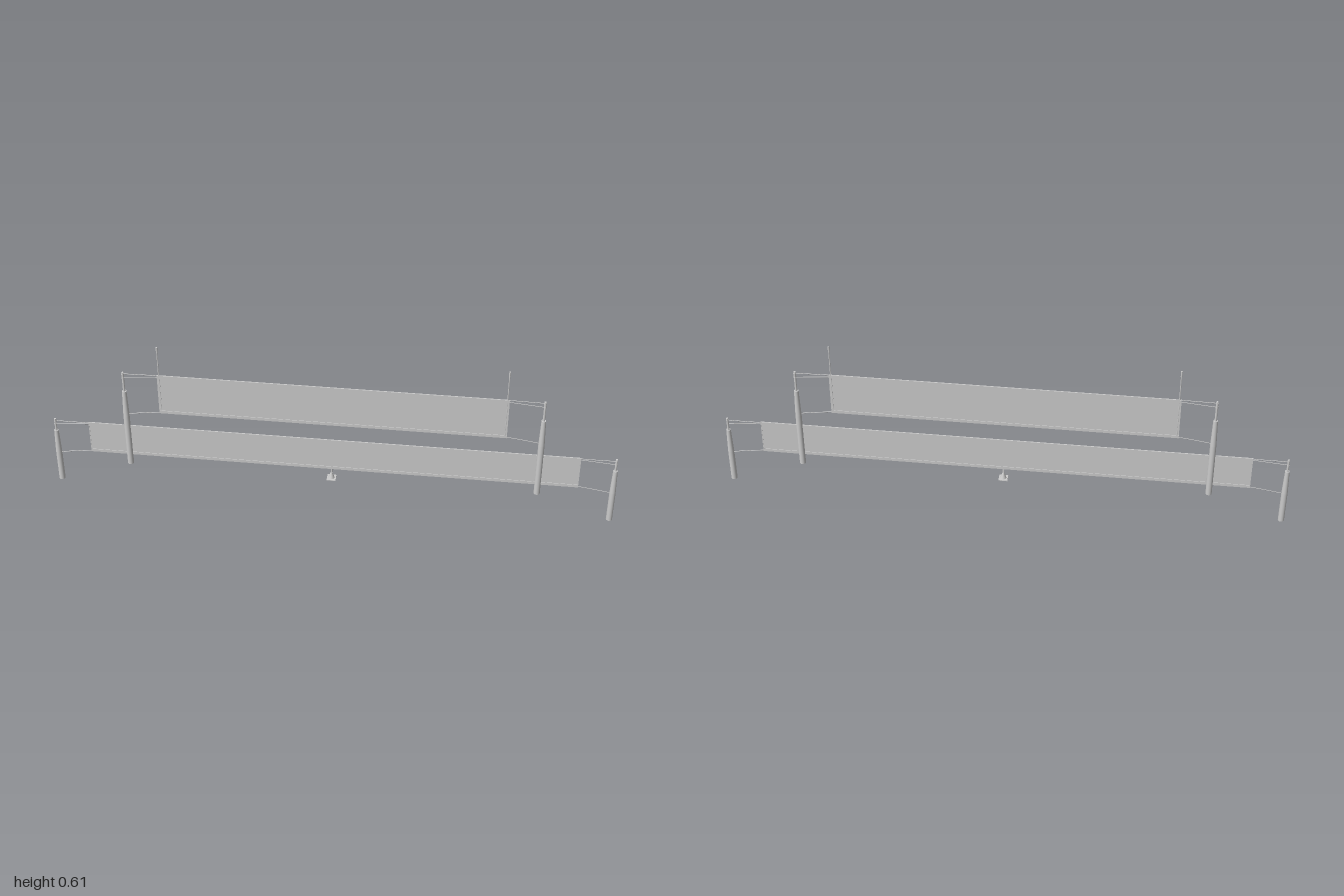
import * as THREE from 'three';

const grey = new THREE.MeshStandardMaterial({ color: 0xcccccc });
const greyDouble = new THREE.MeshStandardMaterial({ color: 0xcccccc, side: THREE.DoubleSide });

function add(parent, name, geometry, x = 0, y = 0, z = 0, material = grey) {
  const mesh = new THREE.Mesh(geometry, material);
  mesh.name = name;
  mesh.position.set(x, y, z);
  parent.add(mesh);
  return mesh;
}

// Thin cord between two points, sagging slightly in the middle
function rope(parent, name, x1, y1, x2, y2, sag = 0) {
  const curve = new THREE.QuadraticBezierCurve3(
    new THREE.Vector3(x1, y1, 0),
    new THREE.Vector3((x1 + x2) / 2, (y1 + y2) / 2 - sag, 0),
    new THREE.Vector3(x2, y2, 0));
  add(parent, name, new THREE.TubeGeometry(curve, 8, 0.0012, 6));
}

// Padded post: straight sleeve, tapered shoulder, slim pole with two collars and a cap
function post(name, x, base, shoulder, padTop, top) {
  const group = new THREE.Group();
  group.name = name;
  group.position.x = x;
  const height = shoulder - base, taper = padTop - shoulder;
  add(group, 'padding', new THREE.CylinderGeometry(0.011, 0.011, height, 20), 0, base + height / 2);
  add(group, 'paddingShoulder', new THREE.CylinderGeometry(0.008, 0.011, taper, 20), 0, shoulder + taper / 2);
  add(group, 'pole', new THREE.CylinderGeometry(0.004, 0.004, top - padTop, 14), 0, (padTop + top) / 2);
  for (const drop of [0.008, 0.023]) {
    add(group, 'ropeCollar', new THREE.CylinderGeometry(0.0048, 0.0048, 0.005, 14), 0, top - drop);
  }
  return group;
}

// Net sheet with hems along the top, bottom and both ends
function net(name, half, bottom, top, hem, endHem) {
  const group = new THREE.Group();
  group.name = name;
  const height = top - bottom, middle = (top + bottom) / 2;
  add(group, 'mesh', new THREE.PlaneGeometry(half * 2, height), 0, middle, 0, greyDouble);
  add(group, 'topBand', new THREE.BoxGeometry(half * 2, hem, 0.004), 0, top - hem / 2);
  add(group, 'bottomBand', new THREE.BoxGeometry(half * 2, hem, 0.004), 0, bottom + hem / 2);
  for (const side of [-1, 1]) {
    add(group, 'endBand', new THREE.BoxGeometry(endHem, height, 0.003), side * (half - endHem / 2), middle);
  }
  return group;
}

export function createModel() {
  const model = new THREE.Group();
  model.name = 'sportsNets';

  const highNet = net('highNet', 0.607, 0.33, 0.492, 0.011, 0.01);
  const lowNet = net('lowNet', 0.868, 0.135, 0.265, 0.011, 0.003);
  model.add(highNet, lowNet);

  for (const side of [-1, 1]) {
    const label = side > 0 ? 'left' : 'right';
    model.add(post(label + 'HighPost', side * 0.727, 0.095, 0.31, 0.415, 0.495));
    model.add(post(label + 'LowPost', side * 0.989, 0, 0.125, 0.22, 0.27));

    // Tension cords
    rope(model, 'highTopRope', side * 0.727, 0.489, side * 0.605, 0.491);
    rope(model, 'highUpperRope', side * 0.727, 0.472, side * 0.605, 0.483);
    rope(model, 'highLowerRope', side * 0.727, 0.315, side * 0.605, 0.333, -0.002);
    rope(model, 'lowTopRope', side * 0.989, 0.262, side * 0.867, 0.262, 0.001);
    rope(model, 'lowUpperRope', side * 0.989, 0.247, side * 0.867, 0.257);
    rope(model, 'lowLowerRope', side * 0.989, 0.119, side * 0.867, 0.138, -0.002);

    // Antenna rod with a thicker tip
    add(model, label + 'Antenna', new THREE.CylinderGeometry(0.002, 0.002, 0.26, 10), side * 0.6, 0.46);
    add(model, label + 'AntennaTip', new THREE.CylinderGeometry(0.003, 0.003, 0.022, 10), side * 0.6, 0.599);
  }

  // Centre anchor: square plate, flared foot and strap
  const anchor = new THREE.Group();
  anchor.name = 'centreAnchor';
  add(anchor, 'plate', new THREE.BoxGeometry(0.032, 0.003, 0.032), 0, 0.094);
  add(anchor, 'foot', new THREE.CylinderGeometry(0.003, 0.011, 0.024, 12), 0, 0.1075);
  add(anchor, 'strap', new THREE.BoxGeometry(0.005, 0.022, 0.003), 0, 0.128);
  model.add(anchor);

  return model;
}
